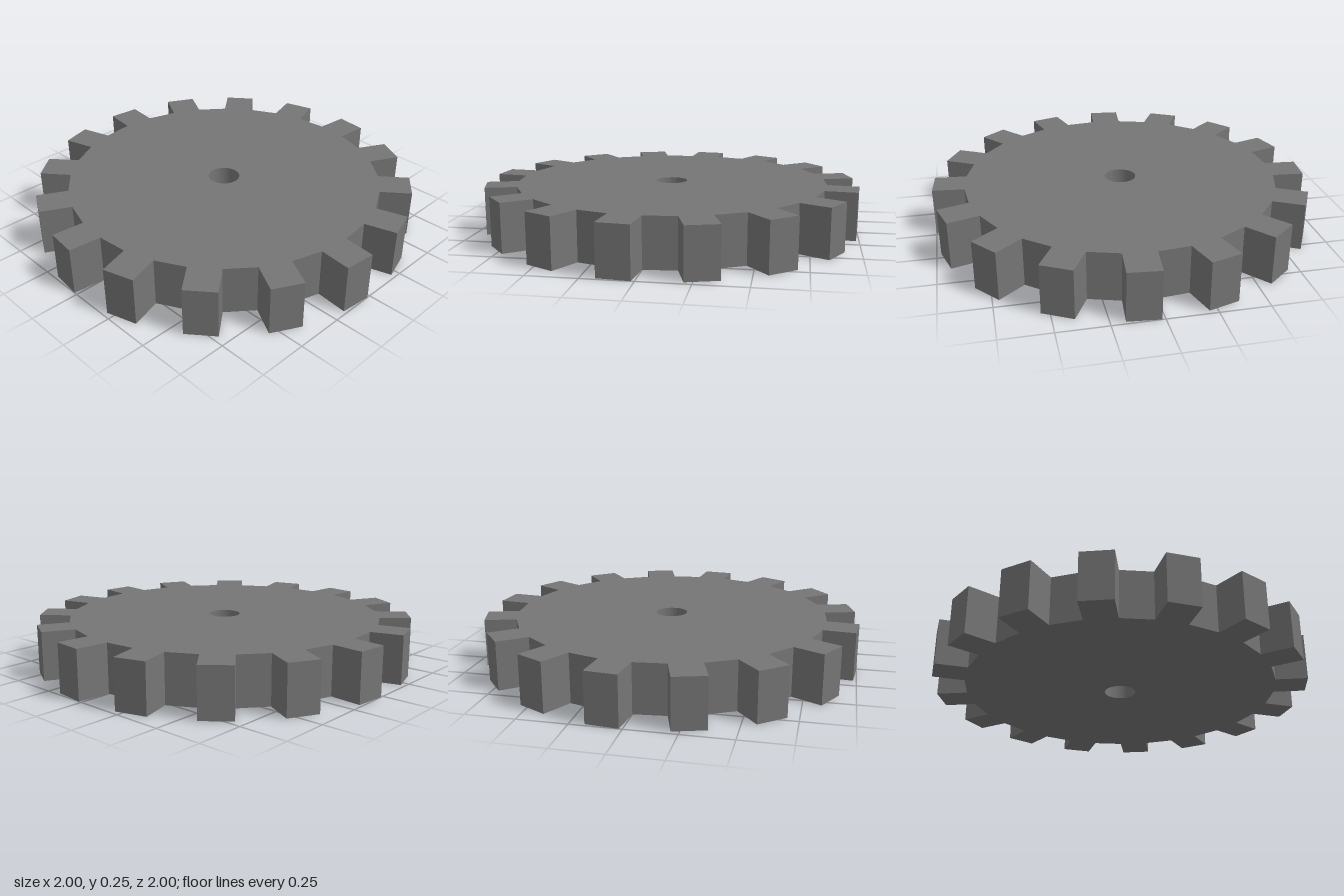
import * as THREE from 'three';
import { toCreasedNormals } from 'three/addons/utils/BufferGeometryUtils.js';

const TEETH = 16;
const ROOT_RADIUS = 0.833;
const TIP_RADIUS = 1;
const HOLE_RADIUS = 0.083;
const THICKNESS = 0.253;

// Gear outline: straight, parallel-sided teeth with flat gaps between them
function gearShape() {
  const pitch = (Math.PI * 2) / TEETH;
  const halfRoot = pitch / 4;
  const halfTip = Math.asin((ROOT_RADIUS * Math.sin(halfRoot)) / TIP_RADIUS);
  const points = [];
  const add = (radius, angle) =>
    points.push(new THREE.Vector2(radius * Math.cos(angle), radius * Math.sin(angle)));

  for (let i = 0; i < TEETH; i++) {
    const centre = i * pitch + halfRoot;
    add(ROOT_RADIUS, centre - halfRoot);
    add(TIP_RADIUS, centre - halfTip);
    add(TIP_RADIUS, centre + halfTip);
    add(ROOT_RADIUS, centre + halfRoot);
  }

  // Round axle hole
  const shape = new THREE.Shape(points);
  shape.holes.push(new THREE.Path().absarc(0, 0, HOLE_RADIUS, 0, Math.PI * 2, true));
  return shape;
}

export function createModel() {
  const group = new THREE.Group();
  group.name = 'gear';

  // Extrude the outline and lay it flat on the ground
  const geometry = new THREE.ExtrudeGeometry(gearShape(), {
    depth: THICKNESS,
    bevelEnabled: false,
    curveSegments: 40,
  });
  geometry.rotateX(Math.PI / 2).translate(0, THICKNESS, 0);

  // Dark grey toothed wheel
  const wheel = new THREE.Mesh(
    toCreasedNormals(geometry, 0.4),
    new THREE.MeshStandardMaterial({ color: 0x757575 })
  );
  wheel.name = 'toothedWheel';
  group.add(wheel);
  return group;
}
